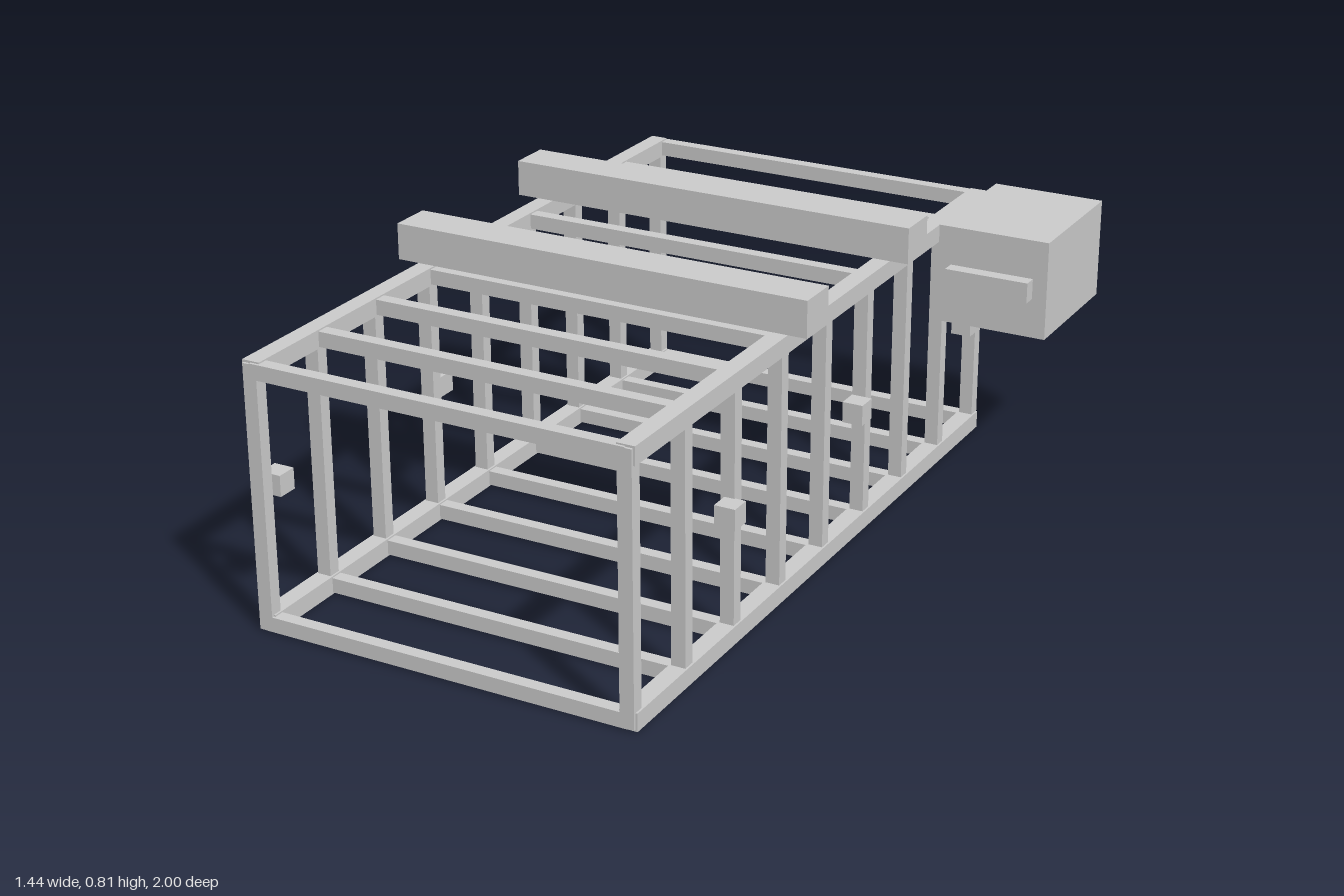
import * as THREE from 'three';

export function createModel() {
  const model = new THREE.Group();
  model.name = 'cageFrame';
  const grey = new THREE.MeshStandardMaterial({ name: 'light grey', color: 0xcccccc });

  // Box given by its minimum and maximum on each axis
  function box(name, [x0, x1], [y0, y1], [z0, z1], parent = model) {
    const mesh = new THREE.Mesh(new THREE.BoxGeometry(x1 - x0, y1 - y0, z1 - z0), grey);
    mesh.position.set((x0 + x1) / 2, (y0 + y1) / 2, (z0 + z1) / 2);
    mesh.name = name;
    parent.add(mesh);
  }
  const around = (c, size) => [c - size / 2, c + size / 2];

  const midX = -0.136, halfWidth = 0.504; // cage centre and offset of its sides
  const sides = [['right', -1], ['left', 1]];
  const levels = [['bottom', 0.024], ['top', 0.686]];

  // Four long rails, ending just inside the outer hoops
  for (const [side, s] of sides)
    for (const [level, y] of levels)
      box(`${level}${side}Rail`, around(midX + s * halfWidth, 0.048), around(y, 0.048), [-0.976, 0.993]);

  // Nine rectangular hoops of two posts and two crossbars
  for (let i = 0; i < 9; i++) {
    const hoop = new THREE.Group();
    hoop.name = `hoop${i + 1}`;
    const z = around(-0.964 + i * 0.2433, 0.035);
    for (const [side, s] of sides)
      box(`${side}Post`, around(midX + s * halfWidth, 0.038), [0.006, 0.704], z, hoop);
    for (const [level, y] of levels)
      box(`${level}Crossbar`, around(midX, 2 * halfWidth), around(y, 0.04), z, hoop);
    model.add(hoop);
  }

  // Two heavy beams resting on top
  for (const z of [-0.381, 0.203])
    box('roofBeam', [-0.718, 0.447], [0.714, 0.811], around(z, 0.116));

  // Small blocks alternating between the two sides
  for (let i = 0; i < 6; i++) {
    const x = i % 2 ? -0.663 : 0.388;
    box('sideBlock', around(x, 0.056), around(0.357, 0.056), around(-0.866 + i * 0.351, 0.056));
  }

  // Equipment box at the rear left with a raised front panel
  box('equipmentBox', [0.409, 0.718], [0.456, 0.726], [-1, -0.612]);
  box('equipmentPanel', [0.445, 0.678], [0.564, 0.62], [-0.65, -0.574]);

  return model;
}
